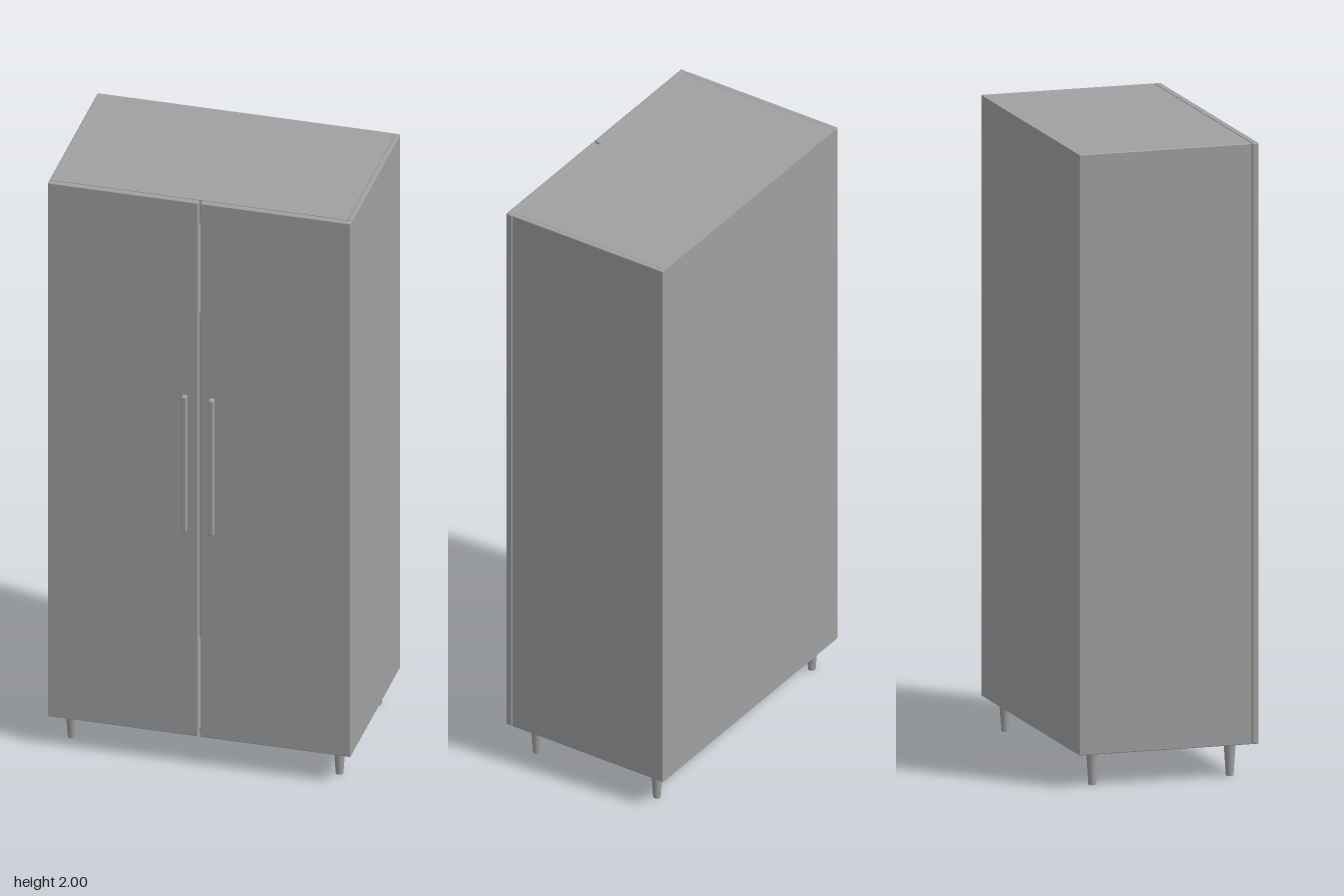
import * as THREE from 'three';
import { RoundedBoxGeometry } from 'three/addons/geometries/RoundedBoxGeometry.js';

export function createModel() {
  const model = new THREE.Group();
  model.name = 'wardrobe';
  const grey = new THREE.MeshStandardMaterial({ color: 0xa0a0a0 });
  grey.name = 'grey';

  // Board given by its minimum and maximum corners, with softly rounded edges
  function board(name, [x0, y0, z0], [x1, y1, z1], radius = 0) {
    const size = [x1 - x0, y1 - y0, z1 - z0];
    const geometry = radius
      ? new RoundedBoxGeometry(...size, 2, radius)
      : new THREE.BoxGeometry(...size);
    const mesh = new THREE.Mesh(geometry, grey);
    mesh.name = name;
    mesh.position.set((x0 + x1) / 2, (y0 + y1) / 2, (z0 + z1) / 2);
    model.add(mesh);
  }

  const bottom = 0.105, top = 2, back = -0.303, front = 0.258;
  const outer = 0.485, inner = 0.469;

  // Carcass between the side panels
  board('topPanel', [-inner, top - 0.018, back], [inner, top - 0.001, front]);
  board('bottomPanel', [-inner, bottom + 0.001, back], [inner, bottom + 0.018, front]);
  board('backPanel', [-inner, bottom + 0.018, back], [inner, top - 0.018, back + 0.01]);
  board('shelf', [-inner, 1.575, back + 0.01], [inner, 1.592, front - 0.01]);

  // Hanging rail below the top
  const rail = new THREE.Mesh(new THREE.CylinderGeometry(0.008, 0.008, inner * 2, 16), grey);
  rail.name = 'hangingRail';
  rail.rotation.z = Math.PI / 2;
  rail.position.set(0, 1.5, -0.02);
  model.add(rail);

  for (const [side, s] of [['left', 1], ['right', -1]]) {
    // Mirrored boards: sort the x limits for each side
    const mirrored = (name, a, b, y0, y1, z0, z1, r) =>
      board(side + name, [Math.min(a * s, b * s), y0, z0], [Math.max(a * s, b * s), y1, z1], r);

    mirrored('SidePanel', inner, outer, bottom, top, back, front, 0.003);
    mirrored('Door', 0.0035, outer, bottom, top, 0.26, 0.281, 0.003);
    mirrored('Handle', 0.035, 0.052, 0.835, 1.317, 0.282, 0.303, 0.005);

    // Tapered feet
    for (const [end, z] of [['Front', 0.204], ['Back', -0.243]]) {
      const leg = new THREE.Mesh(new THREE.CylinderGeometry(0.019, 0.012, bottom + 0.001, 24), grey);
      leg.name = side + end + 'Leg';
      leg.position.set(0.429 * s, (bottom + 0.001) / 2, z);
      model.add(leg);
    }
  }
  return model;
}
